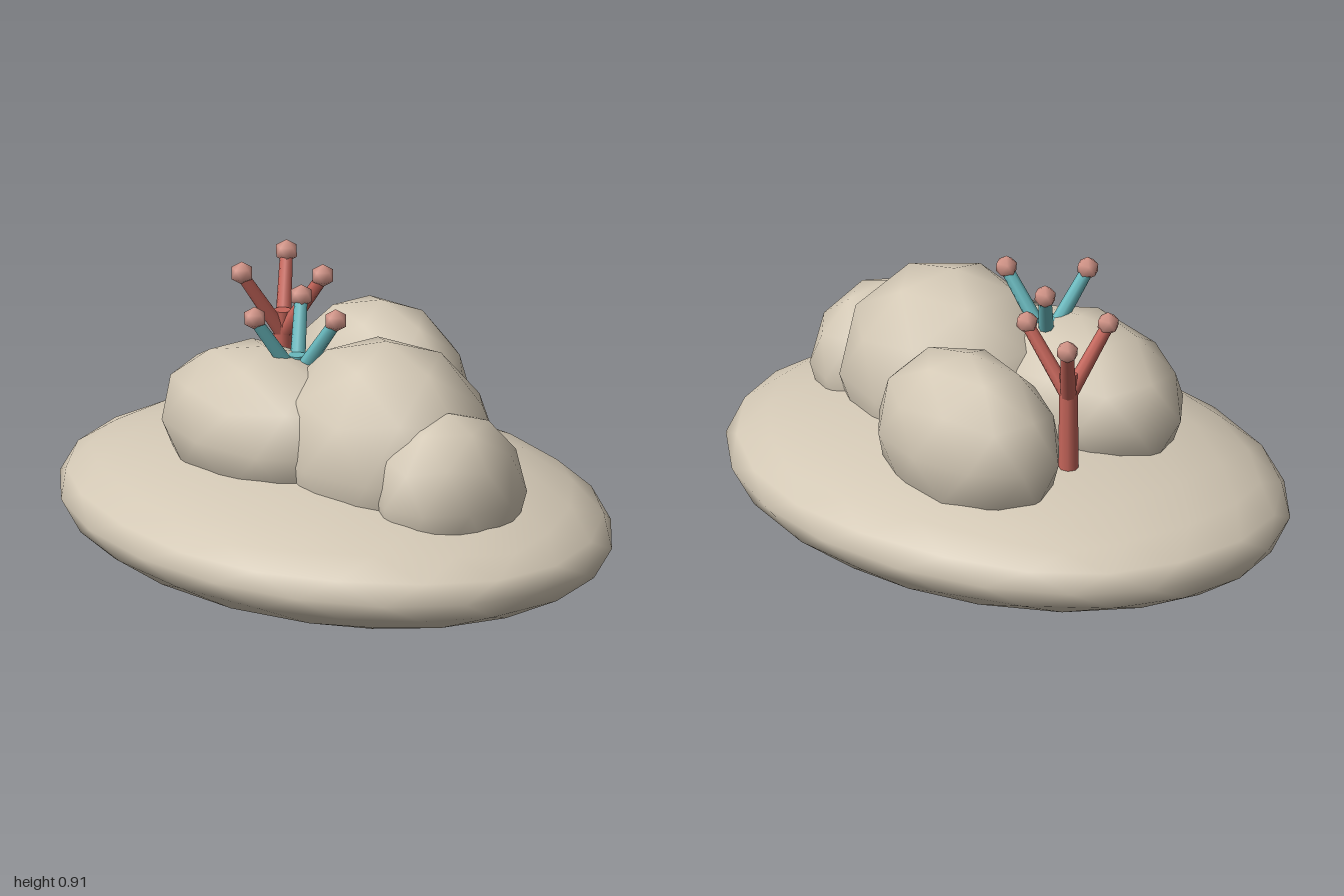
import * as THREE from 'three';

const mat = (name, color) => new THREE.MeshStandardMaterial({ name, color });

// Smooth-shaded icosphere standing on one of its corners
function icosphere(detail) {
  const g = new THREE.IcosahedronGeometry(1, detail);
  g.setAttribute('normal', g.attributes.position.clone());
  return g.rotateZ(-Math.atan(2 / (1 + Math.sqrt(5))));
}

export function createModel() {
  const model = new THREE.Group();
  model.name = 'coralRock';

  const stone = mat('sandstone', 0xd3c8b5);
  const red = mat('coralRed', 0xc5655a);
  const teal = mat('coralTeal', 0x69b9be);
  const pink = mat('coralTipPink', 0xd6978a);

  const fine = icosphere(3), coarse = icosphere(1), ball = icosphere(0);

  function blob(name, geometry, material, pos, size, parent = model) {
    const m = new THREE.Mesh(geometry, material);
    m.name = name;
    m.position.set(...pos);
    m.scale.set(...size);
    parent.add(m);
  }

  // Flat base and the boulders resting on it
  blob('base', fine, stone, [0, 0.225, 0], [1, 0.225, 0.755]);
  blob('frontBoulder', coarse, stone, [-0.13, 0.5, 0.175], [0.4, 0.255, 0.27]);
  blob('backBoulder', coarse, stone, [-0.18, 0.5, -0.315], [0.355, 0.288, 0.23]);
  blob('tallBoulder', coarse, stone, [0.245, 0.48, -0.005], [0.4, 0.357, 0.325]);
  blob('smallBoulder', coarse, stone, [0.56, 0.43, -0.005], [0.22, 0.26, 0.25]);

  // Tapered rod between two points
  function rod(name, material, a, b, r0, r1, parent) {
    const dir = b.clone().sub(a);
    const m = new THREE.Mesh(new THREE.CylinderGeometry(r1, r0, dir.length(), 8), material);
    m.name = name;
    m.position.copy(a).addScaledVector(dir, 0.5);
    m.quaternion.setFromUnitVectors(new THREE.Vector3(0, 1, 0), dir.normalize());
    parent.add(m);
  }

  // Coral: a trunk, three spreading branches and their round tips
  function coral(name, material, x, z, tips) {
    const g = new THREE.Group();
    g.name = name;
    const at = (y) => new THREE.Vector3(x, y, z);
    rod('trunk', material, at(0.38), at(0.735), 0.032, 0.028, g);
    for (const [tx, tz] of tips) {
      rod('branch', material, at(0.66), new THREE.Vector3(tx, 0.87, tz), 0.025, 0.02, g);
      blob('tip', ball, pink, [tx, 0.875, tz], [0.037, 0.037, 0.037], g);
    }
    model.add(g);
  }
  coral('redCoral', red, -0.41, -0.11, [[-0.52, -0.21], [-0.27, -0.157], [-0.44, 0.025]]);
  coral('tealCoral', teal, -0.055, 0.11, [[-0.162, 0.01], [0.085, 0.067], [-0.085, 0.25]]);

  return model;
}
